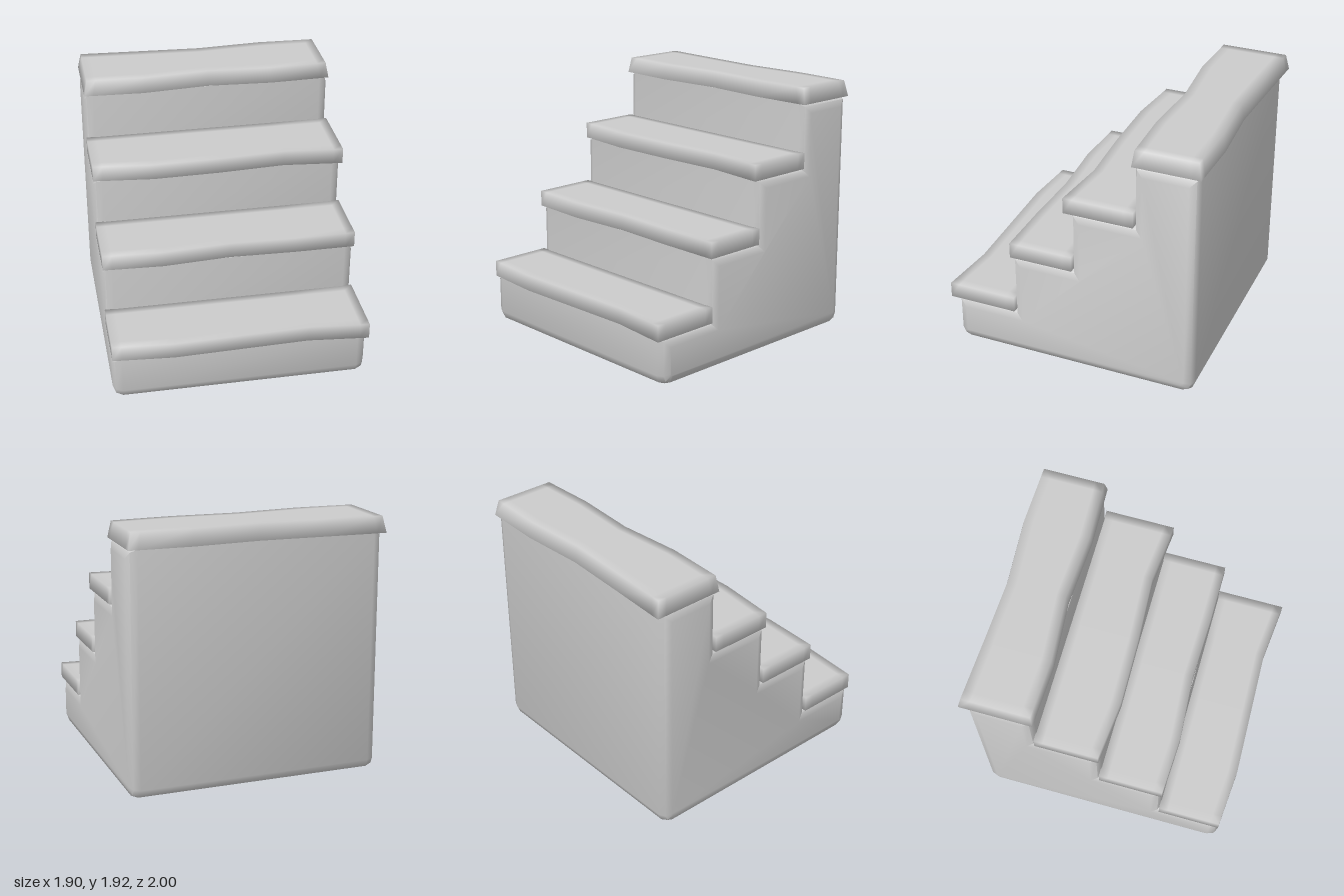
import * as THREE from 'three';
import { mergeVertices, toCreasedNormals } from 'three/addons/utils/BufferGeometryUtils.js';

const material = new THREE.MeshStandardMaterial({ color: 0xcccccc });
const HALF = 0.95;      // half width and half depth of the block
const RUN = 0.475;      // depth of one step
const RISE = 0.48;      // height of one step
const LIP = 0.36;       // height of the first riser
const THICK = 0.12;     // tread thickness
const BEVEL = 0.07;

// Stepped block: side profile (z, y) extruded across the width with rounded edges
function createBlock() {
  const r = 0.08, k = r * (1 - Math.SQRT1_2);
  const points = [
    [-HALF, r], [-HALF + k, k], [-HALF + r, 0],
    [HALF - r, 0], [HALF - k, k], [HALF, r],
  ];
  for (let i = 0; i < 4; i++) {
    const z = HALF - i * RUN, y = LIP + i * RISE;
    points.push([z, y], [z - RUN, y]);
  }
  const shape = new THREE.Shape(points.map(([z, y]) => new THREE.Vector2(z, y)));
  const depth = 2 * (HALF - BEVEL);
  const geometry = new THREE.ExtrudeGeometry(shape, {
    depth, bevelEnabled: true, bevelSize: BEVEL, bevelThickness: BEVEL,
    bevelOffset: -BEVEL, bevelSegments: 2,
  });
  geometry.translate(0, 0, -depth / 2);
  geometry.rotateY(-Math.PI / 2);
  const mesh = new THREE.Mesh(toCreasedNormals(geometry, 0.9), material);
  mesh.name = 'stepBlock';
  return mesh;
}

// Worn slab: a gridded box whose front and back edges follow uneven lines
const stations = [-HALF, -0.88, -0.5, 0, 0.5, 0.88, HALF];

function edgeAt(edge, x) {
  const knots = [-HALF, -0.5, 0, 0.5, HALF];
  let i = 0;
  while (i < 3 && x > knots[i + 1]) i++;
  return THREE.MathUtils.mapLinear(x, knots[i], knots[i + 1], edge[i], edge[i + 1]);
}

function createTread(name, y, front, back, flare = 0) {
  let geometry = new THREE.BoxGeometry(6, 1, 3, 6, 1, 3);
  const p = geometry.attributes.position;
  for (let i = 0; i < p.count; i++) {
    const x = stations[Math.round(p.getX(i) + 3)];
    const row = Math.round(p.getZ(i) + 1.5);
    const top = p.getY(i) > 0;
    const f = edgeAt(front, x) - (top ? flare * 0.6 : 0);
    const b = edgeAt(back, x) + (top ? flare : 0);
    const z = [b, b + BEVEL, f - BEVEL, f][row];
    p.setXYZ(i, top ? x * (1 - flare) : x, y + (top ? THICK : 0), z);
  }
  geometry.deleteAttribute('uv');
  geometry.deleteAttribute('normal');
  geometry = mergeVertices(geometry);
  geometry.computeVertexNormals();
  const mesh = new THREE.Mesh(geometry, material);
  mesh.name = name;
  return mesh;
}

export function createModel() {
  const group = new THREE.Group();
  group.name = 'steps';
  group.add(createBlock());

  // Front edge of each tread, from right end to left end
  const fronts = [
    [0.95, 0.985, 0.97, 0.955, 1.0],
    [0.485, 0.505, 0.47, 0.485, 0.485],
    [0.0, 0.045, 0.035, 0.005, 0.05],
    [-0.46, -0.44, -0.48, -0.45, -0.465],
  ];
  const topBack = [-1.0, -0.975, -0.95, -0.98, -0.965];
  fronts.forEach((front, i) => {
    const isTop = i === 3;
    const back = isTop ? topBack : Array(5).fill(HALF - (i + 1) * RUN - 0.005);
    group.add(createTread(`tread${i + 1}`, LIP + i * RISE, front, back, isTop ? 0.025 : 0));
  });
  return group;
}
